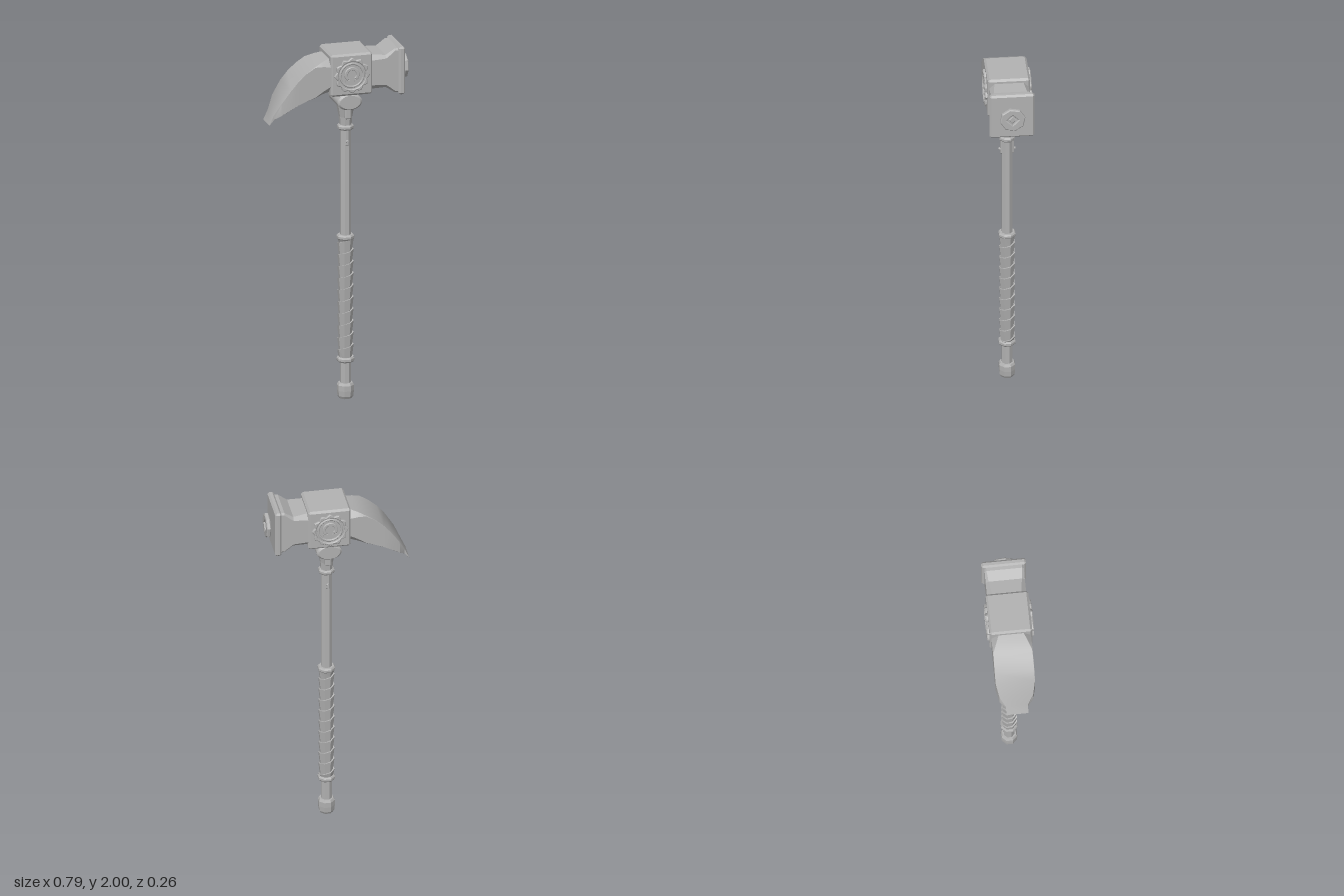
import * as THREE from 'three';
import { toCreasedNormals } from 'three/addons/utils/BufferGeometryUtils.js';
import { ConvexGeometry } from 'three/addons/geometries/ConvexGeometry.js';

const steel = new THREE.MeshStandardMaterial({ color: 0xb2b2b2 });
steel.name = 'grey steel';

const AXIS = 0.055; // x of the handle axis
const HEAD_Y = 1.865;

function flat(geometry) {
  const g = geometry.index ? geometry.toNonIndexed() : geometry;
  g.computeVertexNormals();
  return g;
}

function add(parent, name, geometry, x = 0, y = 0, z = 0) {
  const mesh = new THREE.Mesh(geometry, steel);
  mesh.name = name;
  mesh.position.set(x, y, z);
  parent.add(mesh);
  return mesh;
}

// Box with all edges cut at 45 degrees
function chamferBox(w, h, d, c) {
  const points = [];
  for (const sx of [-0.5, 0.5]) for (const sy of [-0.5, 0.5]) for (const sz of [-0.5, 0.5]) {
    for (let k = 0; k < 3; k++) {
      const size = [w, h, d].map((s, i) => (i === k ? s : s - 2 * c));
      points.push(new THREE.Vector3(sx * size[0], sy * size[1], sz * size[2]));
    }
  }
  return new ConvexGeometry(points);
}

// Eight-sided turned part from [radius, y] pairs, listed upwards
function turned(profile) {
  const points = profile.map(([r, y]) => new THREE.Vector2(r, y));
  return flat(new THREE.LatheGeometry(points, 8, Math.PI / 8));
}

function skin(rings, closed, crease) {
  const positions = [];
  for (let i = 0; i < rings.length - 1; i++) {
    const n = rings[i].length;
    for (let j = 0; j < (closed ? n : n - 1); j++) {
      const k = (j + 1) % n;
      const [a, b, c, d] = [rings[i][j], rings[i][k], rings[i + 1][j], rings[i + 1][k]];
      positions.push(...a, ...b, ...c, ...b, ...d, ...c);
    }
  }
  const g = new THREE.BufferGeometry();
  g.setAttribute('position', new THREE.Float32BufferAttribute(positions, 3));
  g.computeVertexNormals();
  return crease ? toCreasedNormals(g, crease) : g;
}

// Loft towards +x; station = [upperX, upperY, lowerX, lowerY, halfWidth, chamfer]
function loft(stations, crease) {
  const rings = stations.map(([ux, uy, lx, ly, w, c]) => {
    const t = Math.min(0.45, c / Math.max(0.01, uy - ly));
    const at = (s, z) => [ux + (lx - ux) * s, uy + (ly - uy) * s, z];
    return [at(0, w - c), at(t, w), at(1 - t, w), at(1, w - c),
      at(1, c - w), at(1 - t, -w), at(t, -w), at(0, c - w)];
  });
  return skin(rings, true, crease);
}

function polygon(n, radius, turn = 0, Type = THREE.Shape) {
  const points = [];
  for (let i = 0; i < n; i++) {
    const a = turn + (i / n) * Math.PI * 2;
    const r = typeof radius === 'function' ? radius(i) : radius;
    points.push(new THREE.Vector2(r * Math.cos(a), r * Math.sin(a)));
  }
  return new Type(points);
}

function plate(shape, depth, bevel) {
  return new THREE.ExtrudeGeometry(shape, {
    depth: depth - bevel, bevelEnabled: bevel > 0, bevelThickness: bevel,
    bevelSize: bevel, bevelOffset: -bevel, bevelSegments: 1, curveSegments: 14,
  });
}

// Scalloped rim, inner ring and horseshoe on one side of the block
function makeMedallion() {
  const group = new THREE.Group();
  group.name = 'medallion';
  const rim = polygon(48, (i) => 0.094 + 0.007 * Math.cos((i / 4) * Math.PI * 2));
  rim.holes.push(polygon(24, 0.078, 0, THREE.Path));
  add(group, 'scallopedRim', plate(rim, 0.014, 0.004));
  const ring = polygon(24, 0.071);
  ring.holes.push(polygon(24, 0.06, 0, THREE.Path));
  add(group, 'innerRing', plate(ring, 0.01, 0.003));
  const shoe = new THREE.Shape();
  shoe.absarc(0, 0.004, 0.042, -0.9, Math.PI + 0.9, false);
  shoe.absarc(0, 0.004, 0.024, Math.PI + 0.9, -0.9, true);
  add(group, 'horseshoe', plate(shoe, 0.011, 0.003));
  for (const s of [-1, 1]) {
    add(group, 'horseshoeFoot', new THREE.BoxGeometry(0.022, 0.012, 0.016), s * 0.024, -0.032, 0.001);
  }
  return group;
}

function makeHead() {
  const head = new THREE.Group();
  head.name = 'head';
  add(head, 'centreBlock', chamferBox(0.235, 0.237, 0.232, 0.011), 0.058, 1.866, 0);

  for (const s of [-1, 1]) {
    const medallion = makeMedallion();
    medallion.position.set(AXIS + 0.002, HEAD_Y, s * 0.114);
    if (s < 0) medallion.rotation.y = Math.PI;
    head.add(medallion);
  }

  // Curved chisel blade, from tip to root
  add(head, 'blade', loft([
    [-0.392, 1.6, -0.392, 1.6, 0.06, 0.001],
    [-0.365, 1.66, -0.365, 1.63, 0.06, 0.001],
    [-0.332, 1.728, -0.335, 1.658, 0.092, 0.001],
    [-0.282, 1.803, -0.283, 1.693, 0.107, 0.001],
    [-0.24, 1.852, -0.24, 1.715, 0.108, 0.001],
    [-0.195, 1.892, -0.195, 1.734, 0.108, 0.001],
    [-0.145, 1.925, -0.145, 1.75, 0.108, 0.003],
    [-0.1, 1.944, -0.1, 1.761, 0.108, 0.022],
    [-0.045, 1.96, -0.045, 1.768, 0.108, 0.045],
  ], 0.5));

  // Flared neck and striking plate
  add(head, 'strikerNeck', loft([
    [0.16, 1.963, 0.16, 1.765, 0.107, 0.03],
    [0.255, 1.955, 0.255, 1.773, 0.107, 0.016],
    [0.28, 1.972, 0.28, 1.757, 0.107, 0.014],
    [0.305, 1.989, 0.305, 1.741, 0.107, 0.01],
    [0.335, 1.991, 0.335, 1.739, 0.107, 0.01],
  ], 0.35));
  add(head, 'strikingPlate', chamferBox(0.036, 0.27, 0.245, 0.01), 0.341, 1.865, 0);

  // Octagonal boss with a diamond recess, set off the plate
  const boss = polygon(8, 0.07, 0.2);
  boss.holes.push(polygon(4, 0.032, 0, THREE.Path));
  add(head, 'boss', plate(boss, 0.018, 0.005).rotateY(Math.PI / 2), 0.377, 1.862, 0);
  add(head, 'bossBack', plate(polygon(8, 0.06, 0.2), 0.008, 0).rotateY(Math.PI / 2), 0.373, 1.862, 0);
  add(head, 'bossDiamond', plate(polygon(4, 0.022), 0.014, 0.003).rotateY(Math.PI / 2), 0.375, 1.862, 0);
  return head;
}

// Overlapping leather wrap wound as a helix between two heights
function wrapGeometry(bottom, top, turns) {
  const pitch = (top - bottom) / turns;
  const profile = [[0.037, 0], [0.045, pitch], [0.037, pitch]];
  const rings = profile.map(([r, dy]) => {
    const ring = [];
    for (let k = -8; k <= turns * 8; k++) {
      const a = Math.PI / 8 + (k * Math.PI) / 4;
      const y = THREE.MathUtils.clamp(bottom + (pitch * k) / 8 + dy, bottom, top);
      ring.push([r * Math.sin(a), y, r * Math.cos(a)]);
    }
    return ring;
  });
  return skin(rings, false);
}

function makeHandle() {
  const handle = new THREE.Group();
  handle.name = 'handle';
  handle.position.x = AXIS;

  add(handle, 'shaft', turned([[0.0305, 0.05], [0.0305, 1.6]]));
  add(handle, 'pommel', turned([[0, 0], [0.036, 0], [0.044, 0.014], [0.047, 0.045],
    [0.047, 0.075], [0.04, 0.088], [0, 0.088]]));
  for (const [y, r] of [[0.22, 0.049], [0.915, 0.049], [1.54, 0.046]]) {
    add(handle, 'ring', turned([[0.03, y - 0.014], [r - 0.006, y - 0.014], [r, y - 0.006],
      [r, y + 0.006], [r - 0.006, y + 0.014], [0.03, y + 0.014]]));
  }
  add(handle, 'gripWrap', wrapGeometry(0.23, 0.905, 10));

  // Socket under the head
  const socket = turned([[0.033, 1.545], [0.037, 1.6], [0.05, 1.67], [0.055, 1.73]]);
  add(handle, 'socket', flat(socket.scale(1, 1, 1.12)));
  const saddle = new THREE.CylinderGeometry(0.07, 0.07, 0.17, 24).rotateX(Math.PI / 2).scale(1, 0.66, 1);
  add(handle, 'saddle', toCreasedNormals(saddle, 0.6), 0, 1.703, 0);

  for (const s of [-1, 1]) {
    const cap = new THREE.CylinderGeometry(0.058, 0.07, 0.01, 24).rotateX(s * Math.PI / 2).scale(1, 0.66, 1);
    add(handle, 'saddleCap', toCreasedNormals(cap, 0.4), 0, 1.703, s * 0.09);
    add(handle, 'socketRib', chamferBox(0.035, 0.1, 0.03, 0.006), 0, 1.647, s * 0.046);
    add(handle, 'strap', chamferBox(0.022, 0.1, 0.012, 0.003), 0, 1.488, s * 0.031);
    const rivet = new THREE.CylinderGeometry(0.006, 0.009, 0.01, 8).rotateX(s * Math.PI / 2);
    add(handle, 'rivet', flat(rivet), 0, 1.465, s * 0.041);
  }
  return handle;
}

export function createModel() {
  const model = new THREE.Group();
  model.name = 'warHammer';
  model.add(makeHead(), makeHandle());
  return model;
}
